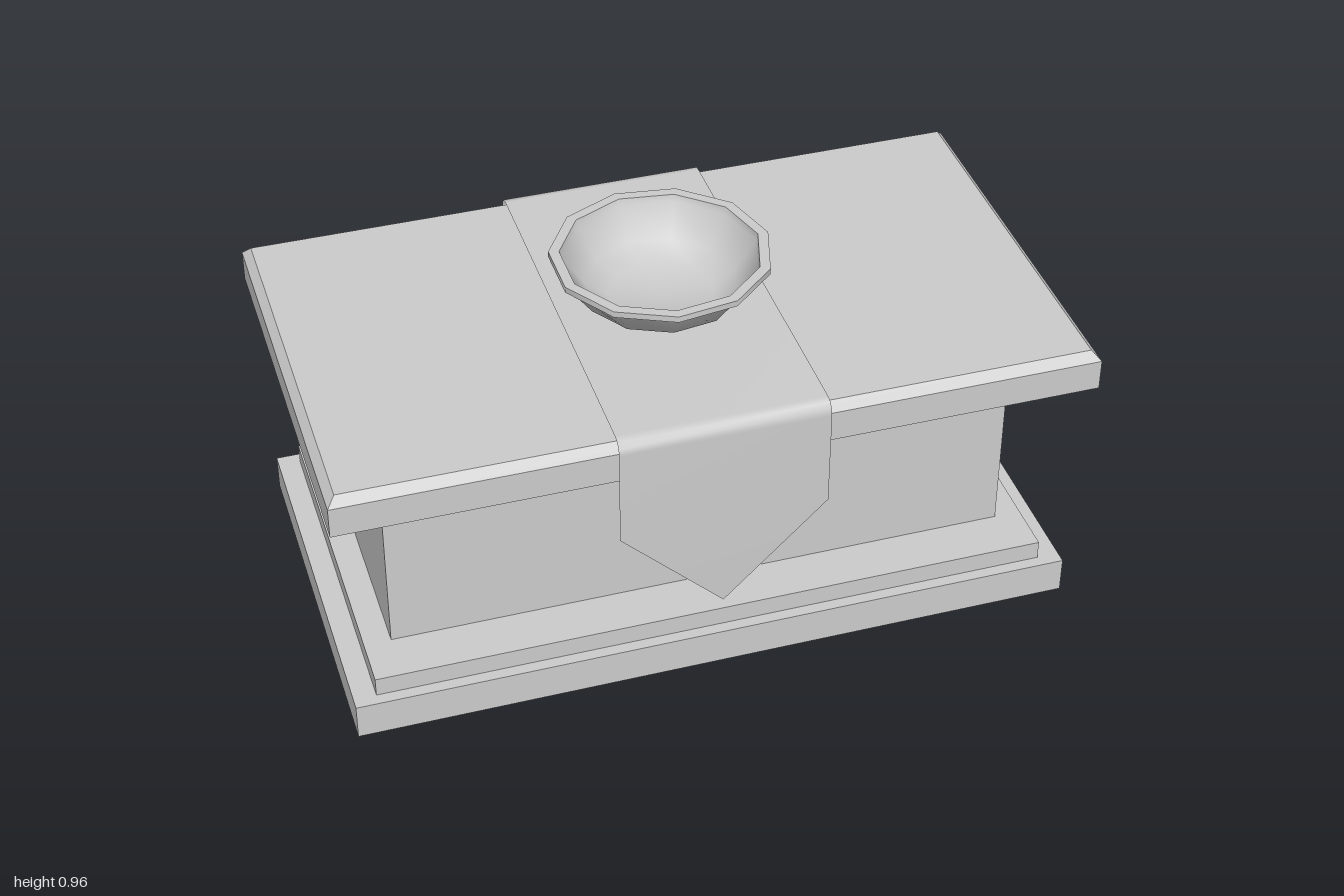
import * as THREE from 'three';
import { toCreasedNormals } from 'three/addons/utils/BufferGeometryUtils.js';

const grey = new THREE.MeshStandardMaterial({ color: 0xcccccc });
const cloth = new THREE.MeshStandardMaterial({ color: 0xcccccc, side: THREE.DoubleSide });

export function createModel() {
  const group = new THREE.Group();
  const add = (name, geometry, material = grey) => {
    const mesh = new THREE.Mesh(geometry, material);
    mesh.name = name;
    group.add(mesh);
    return mesh;
  };
  const block = (name, halfX, halfZ, y0, y1) =>
    add(name, new THREE.BoxGeometry(halfX * 2, y1 - y0, halfZ * 2)).position.y = (y0 + y1) / 2;

  // Stepped base and body
  block('plinth', 0.97, 0.525, 0, 0.1);
  block('plinthStep', 0.91, 0.493, 0.1, 0.153);
  block('body', 0.838, 0.358, 0.153, 0.705);

  // Table top: middle row of vertices becomes the lower edge of the bevel
  const slab = new THREE.BoxGeometry(2, 2, 1.114, 1, 2, 1);
  const p = slab.attributes.position;
  const heights = [0.705, 0.79, 0.815];
  for (let i = 0; i < p.count; i++) {
    const row = Math.round(p.getY(i)) + 1;
    const inset = row === 2 ? 0.022 : 0;
    p.setXYZ(i, p.getX(i) - Math.sign(p.getX(i)) * inset, heights[row],
      p.getZ(i) - Math.sign(p.getZ(i)) * inset);
  }
  const flatSlab = slab.toNonIndexed();
  flatSlab.computeVertexNormals();
  add('tableTop', flatSlab);

  // Runner cloth: half path [z, y, half width] from front tip to the top, mirrored to the back
  const half = [
    [0.564, 0.25, 0], [0.566, 0.52, 0.275], [0.566, 0.79, 0.275],
    [0.562, 0.808, 0.275], [0.55, 0.822, 0.275], [0.53, 0.827, 0.275],
  ];
  const path = [...half, ...half.map(([z, y, w]) => [-z, y, w]).reverse()];
  const positions = [], index = [];
  path.forEach(([z, y, w], i) => {
    positions.push(-0.005 - w, y, z, -0.005 + w, y, z);
    const a = i * 2;
    if (i < path.length - 1) index.push(a, a + 1, a + 3, a, a + 3, a + 2);
  });
  const runner = new THREE.BufferGeometry();
  runner.setAttribute('position', new THREE.Float32BufferAttribute(positions, 3));
  runner.setIndex(index);
  runner.computeVertexNormals();
  add('runnerCloth', runner, cloth);

  // Eleven-sided bowl: foot, outer wall, rim, inner wall, floor
  const profile = [
    [0, 0.826], [0.155, 0.826], [0.155, 0.832], [0.16, 0.833], [0.212, 0.858],
    [0.275, 0.945], [0.29, 0.947], [0.29, 0.964], [0.262, 0.964],
    [0.257, 0.945], [0.2, 0.865], [0.14, 0.829], [0, 0.829],
  ].map(([r, y]) => new THREE.Vector2(r, y));
  add('bowl', toCreasedNormals(new THREE.LatheGeometry(profile, 11, Math.PI / 2), 0.65));

  return group;
}
